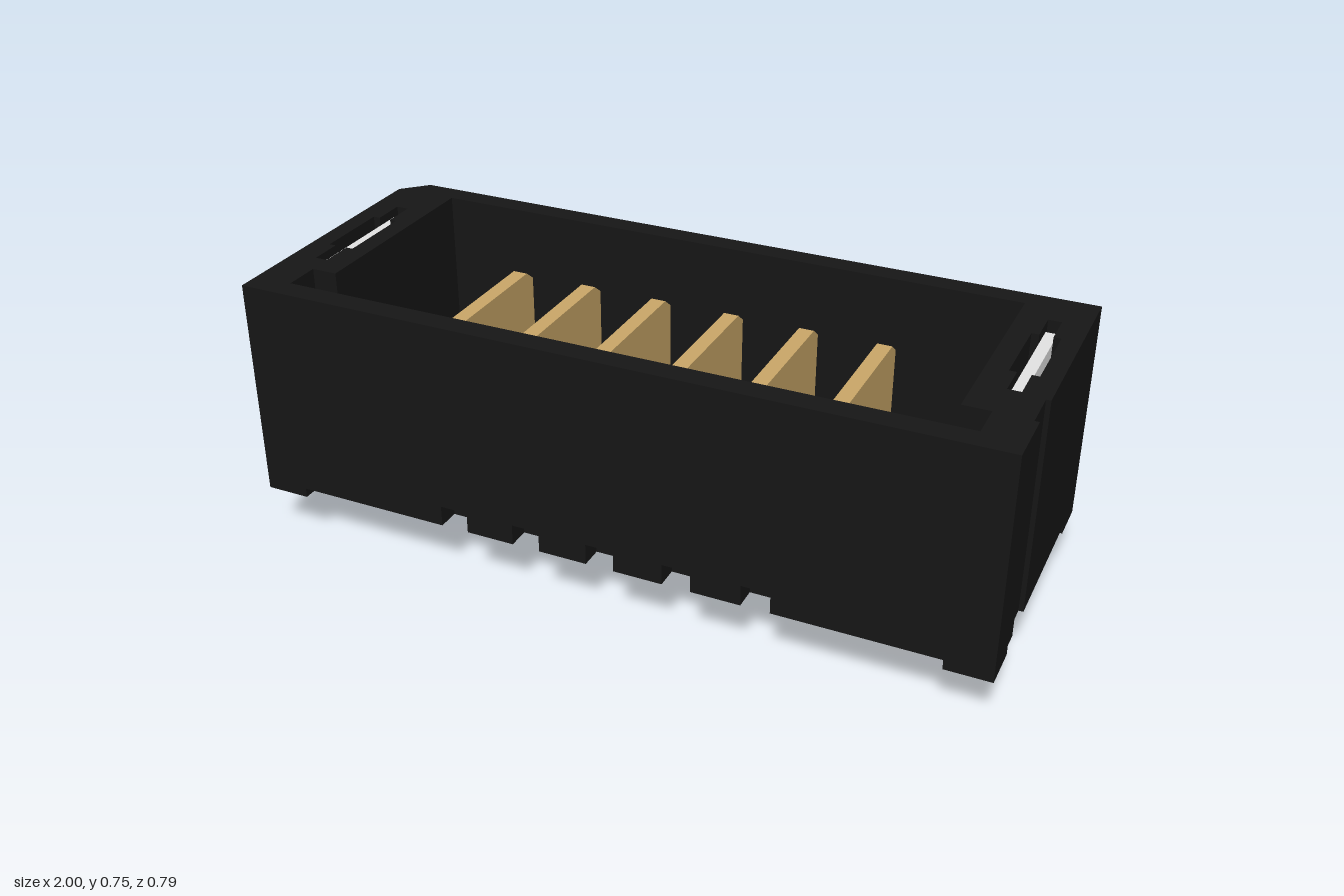
import * as THREE from 'three';

const housingMat = new THREE.MeshStandardMaterial({ name: 'black plastic', color: 0x161616 });
const bladeMat = new THREE.MeshStandardMaterial({ name: 'gold metal', color: 0xcaa768 });
const clipMat = new THREE.MeshStandardMaterial({ name: 'tinned metal', color: 0xe3e3e3 });

const W = 1, D = 0.395;
const rect = (x0, x1, z0, z1) => [[x0, z0], [x1, z0], [x1, z1], [x0, z1]];

// Horizontal slab from a plan of [x, z] points with holes, between two heights
function slab(outline, holes, y0, y1) {
  const toPts = (list) => list.map(([x, z]) => new THREE.Vector2(x, -z));
  const shape = new THREE.Shape(toPts(outline).reverse());
  holes.forEach((h) => shape.holes.push(new THREE.Path(toPts(h))));
  return new THREE.ExtrudeGeometry(shape, { depth: y1 - y0, bevelEnabled: false })
    .rotateX(-Math.PI / 2).translate(0, y0, 0);
}

// Upright plate from a profile of [z, y] points, centred on x
function plate(profile, thickness) {
  const shape = new THREE.Shape(profile.map(([z, y]) => new THREE.Vector2(-z, y)));
  return new THREE.ExtrudeGeometry(shape, { depth: thickness, bevelEnabled: false })
    .translate(0, 0, -thickness / 2).rotateY(Math.PI / 2);
}

// Housing plan: one chamfered corner, a side groove, optional notches front and back
function housingPlan(notched) {
  const xs = [-0.416, -0.208, 0, 0.208, 0.416], h = 0.038, depth = 0.06;
  const pts = [[-W, -D + 0.065], [-W + 0.065, -D]];
  if (notched) xs.forEach((x) => pts.push([x - h, -D], [x - h, -D + depth], [x + h, -D + depth], [x + h, -D]));
  pts.push([W, -D], [W, 0.135], [W - 0.012, 0.135], [W - 0.012, 0.24], [W, 0.24], [W, D]);
  if (notched) [...xs].reverse().forEach((x) => pts.push([x + h, D], [x + h, D - depth], [x - h, D - depth], [x - h, D]));
  pts.push([-W, D]);
  return pts;
}

// Cross-shaped through slot for a clip
function clipSlot(x, z) {
  const a = 0.017, b = 0.036, s = 0.105, l = 0.194;
  return [[-a, -l], [a, -l], [a, -s], [b, -s], [b, s], [a, s], [a, l], [-a, l], [-a, s], [-b, s], [-b, -s], [-a, -s]]
    .map(([dx, dz]) => [x + dx, z + dz]);
}

export function createModel() {
  const model = new THREE.Group();
  model.name = 'pinHeader';
  const add = (parent, name, geometry, material) => {
    const mesh = new THREE.Mesh(geometry, material);
    mesh.name = name;
    parent.add(mesh);
    return mesh;
  };

  const clips = [[-0.914, -0.02], [0.914, -0.072]];
  const slots = clips.map(([x, z]) => clipSlot(x, z));
  const recesses = [rect(-0.84, -0.632, -0.34, 0.34), rect(0.632, 0.84, -0.34, 0.34)];
  const lowerCavity = rect(-0.632, 0.632, -0.335, 0.333);
  const cavity = [[-0.827, -0.335], [0.823, -0.335], [0.823, 0.236], [0.894, 0.236],
    [0.894, 0.333], [-0.896, 0.333], [-0.896, 0.236], [-0.827, 0.236]];

  // Housing, stacked from the underside to the rim
  const housing = new THREE.Group();
  housing.name = 'housing';
  model.add(housing);
  const plain = housingPlan(false);
  add(housing, 'notchedBase', slab(housingPlan(true), [...slots, ...recesses], 0.173, 0.23), housingMat);
  add(housing, 'recessedBase', slab(plain, [...slots, ...recesses], 0.23, 0.26), housingMat);
  add(housing, 'floor', slab(plain, slots, 0.26, 0.29), housingMat);
  add(housing, 'steppedFloor', slab(plain, [...slots, lowerCavity], 0.29, 0.36), housingMat);
  add(housing, 'walls', slab(plain, [...slots, cavity], 0.36, 0.747), housingMat);

  // Corner feet
  for (const sx of [-1, 1]) for (const sz of [-1, 1]) {
    const foot = sx < 0 && sz < 0
      ? [[-W, -D + 0.065], [-W + 0.065, -D], [-0.88, -D], [-0.88, -0.28], [-W, -0.28]]
      : rect(Math.min(sx * W, sx * 0.88), Math.max(sx * W, sx * 0.88),
        Math.min(sz * D, sz * 0.28), Math.max(sz * D, sz * 0.28));
    add(housing, 'foot', slab(foot, [], 0.147, 0.173), housingMat);
  }

  // Six contact blades with short tails below the floor
  const bladeGeo = plate([[0.143, 0.141], [0.2, 0.2], [0.2, 0.57], [0.16, 0.64],
    [-0.175, 0.64], [-0.207, 0.615], [-0.207, 0.17], [-0.18, 0.141]], 0.04);
  for (let i = 0; i < 6; i++) {
    add(model, 'contactBlade', bladeGeo, bladeMat).position.x = -0.52 + i * 0.208;
  }

  // Retention clips: a plate in the slot with two necked, pointed legs
  const half = [[0.07, 0.3], [0.07, 0.14], [0.077, 0.115], [0.07, 0.09], [0.07, 0.025], [0.092, 0],
    [0.112, 0], [0.136, 0.025], [0.136, 0.09], [0.129, 0.115], [0.136, 0.14], [0.136, 0.5],
    [0.192, 0.54], [0.192, 0.7], [0.17, 0.725]];
  const clipGeo = plate([...half, ...half.map(([z, y]) => [-z, y]).reverse()], 0.03);
  for (const [x, z] of clips) {
    add(model, 'retentionClip', clipGeo, clipMat).position.set(x, 0, z);
  }
  return model;
}
